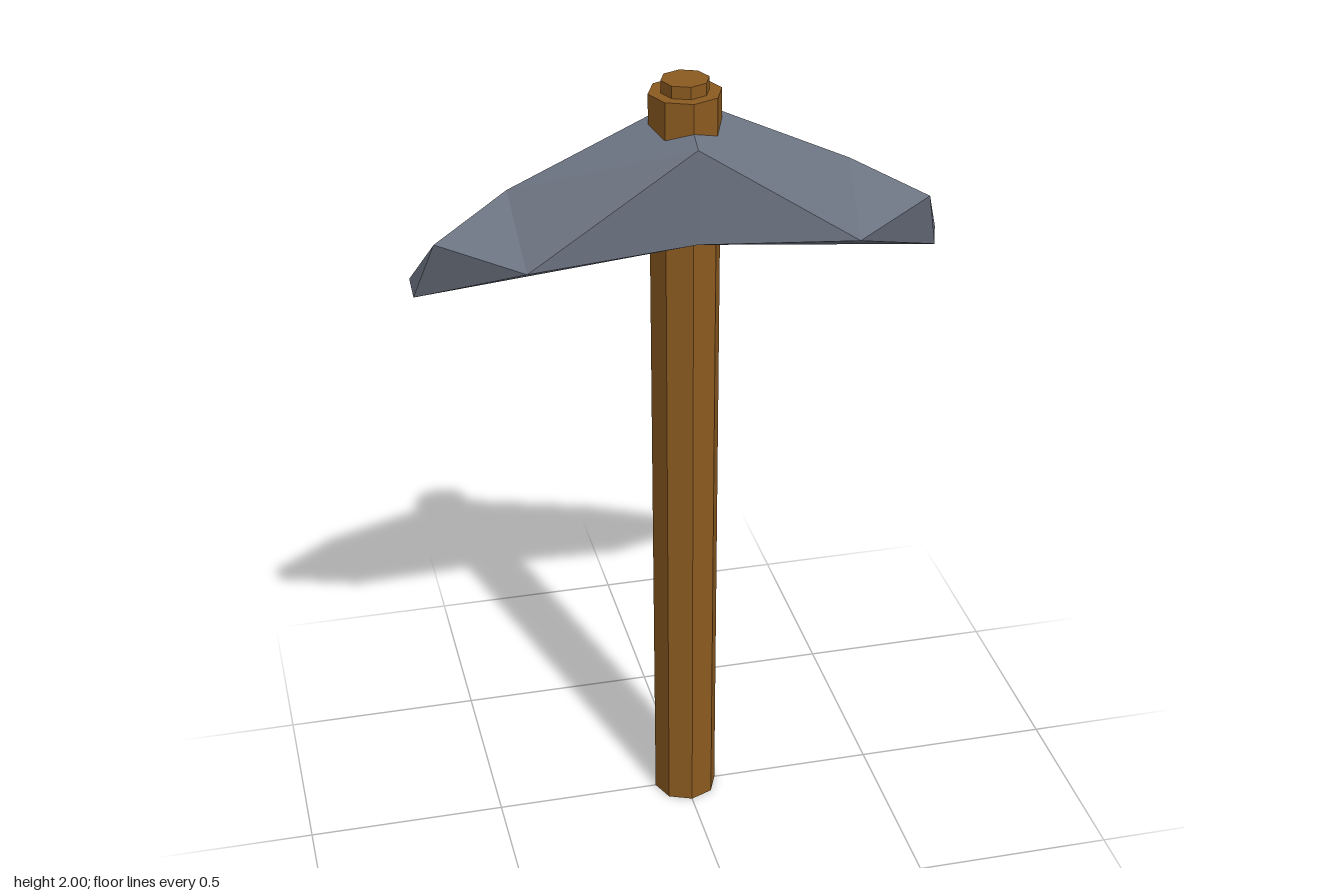
import * as THREE from 'three';

const wood = new THREE.MeshStandardMaterial({ color: 0x8b5a20, flatShading: true });
wood.name = 'wood';
const steel = new THREE.MeshStandardMaterial({ color: 0x6b7280, flatShading: true });
steel.name = 'steel';

// Eight-sided wooden section between two heights
function shaft(name, radiusTop, radiusBottom, y0, y1) {
  const mesh = new THREE.Mesh(new THREE.CylinderGeometry(radiusTop, radiusBottom, y1 - y0, 8), wood);
  mesh.position.y = (y0 + y1) / 2;
  mesh.name = name;
  return mesh;
}

// Faceted pick head: one arm described by its corners, then mirrored in x
function headGeometry() {
  const corners = {
    P: [0, 1.95, -0.012],      // ridge, middle
    F: [0, 1.875, 0.13],       // front, upper
    D: [0, 1.64, 0.13],        // front, lower
    K: [0, 1.84, -0.122],      // back, upper
    E: [0, 1.62, -0.13],       // back, lower
    B: [0.415, 1.745, -0.047], // ridge, along the arm
    C: [0.4, 1.6, 0.113],      // front, along the arm
    A: [0.6, 1.655, 0.02],     // shoulder of the point
    T: [0.65, 1.53, -0.075],   // point, upper
    U: [0.645, 1.49, -0.055],  // point, lower
  };
  const faces = ['FDC', 'FCB', 'BCA', 'PFB', 'PBK', 'BTK', 'BAT', 'ACU', 'AUT', 'CDU', 'DEU', 'KTU', 'KUE'];
  const positions = [];
  for (const side of [1, -1]) {
    for (const face of faces) {
      const order = side > 0 ? [...face] : [...face].reverse();
      for (const key of order) {
        const [x, y, z] = corners[key];
        positions.push(x * side, y, z);
      }
    }
  }
  const geometry = new THREE.BufferGeometry();
  geometry.setAttribute('position', new THREE.Float32BufferAttribute(positions, 3));
  geometry.computeVertexNormals();
  return geometry;
}

export function createModel() {
  const model = new THREE.Group();
  model.name = 'pickaxe';

  // Handle, collar above the head and end cap
  model.add(shaft('handle', 0.086, 0.081, 0, 1.82));
  model.add(shaft('collar', 0.088, 0.088, 1.8, 1.97));
  model.add(shaft('endCap', 0.058, 0.058, 1.96, 2));

  const head = new THREE.Mesh(headGeometry(), steel);
  head.name = 'pickHead';
  model.add(head);
  return model;
}
